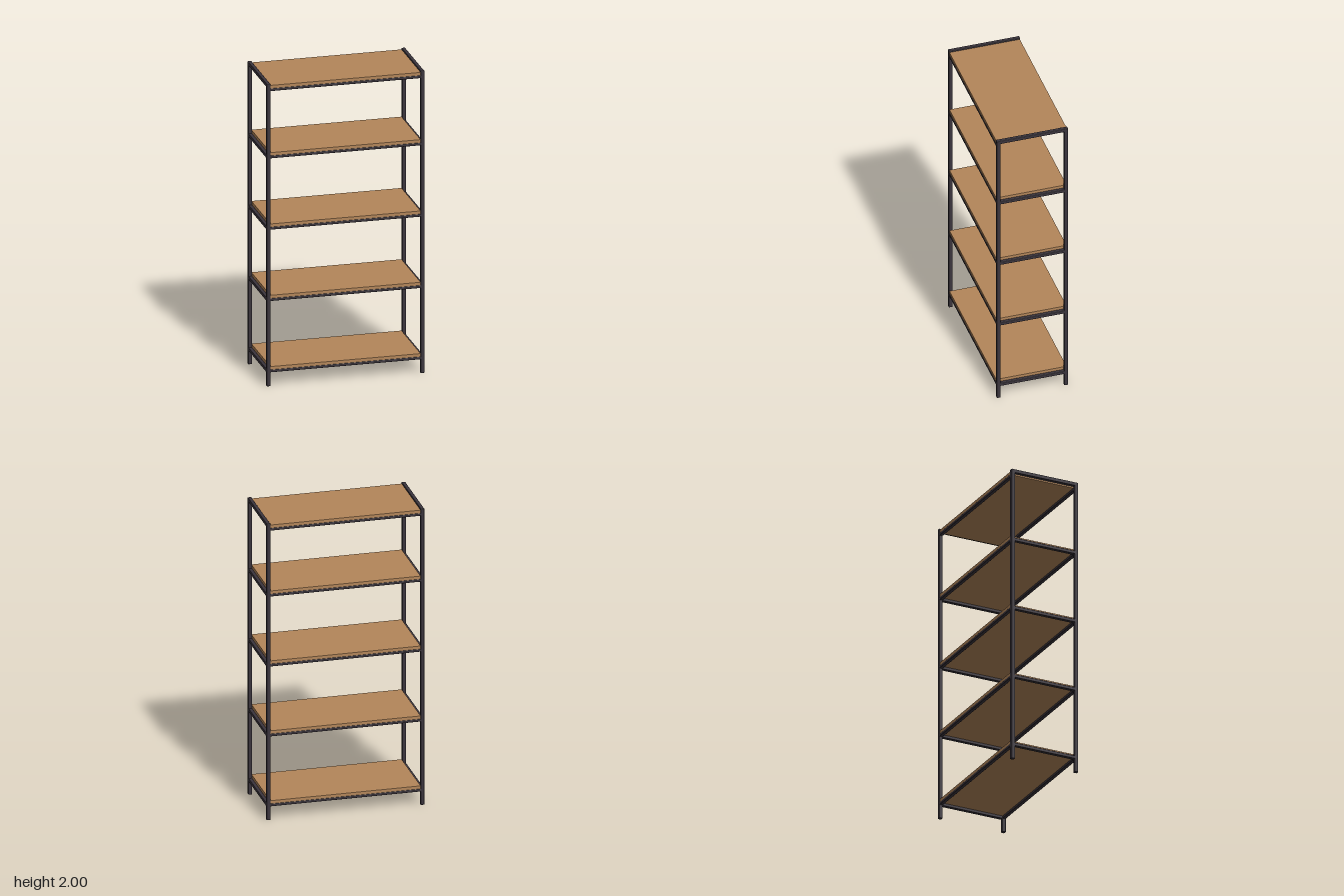
import * as THREE from 'three';
import { RoundedBoxGeometry } from 'three/addons/geometries/RoundedBoxGeometry.js';

const BAR = 0.025;            // square tube thickness
const POST_X = 0.499, POST_Z = 0.222;

export function createModel() {
  const model = new THREE.Group();
  model.name = 'shelvingUnit';

  const metal = new THREE.MeshStandardMaterial({ color: 0x3a343c });
  metal.name = 'dark metal';
  const wood = new THREE.MeshStandardMaterial({ color: 0xb3865a });
  wood.name = 'warm wood';

  // Metal tube with softly rounded edges
  function bar(name, w, h, d, x, y, z, parent = model) {
    const mesh = new THREE.Mesh(new RoundedBoxGeometry(w, h, d, 2, 0.004), metal);
    mesh.name = name;
    mesh.position.set(x, y, z);
    parent.add(mesh);
  }

  // Four corner posts
  for (const sx of [1, -1]) {
    for (const sz of [1, -1]) {
      const name = (sz > 0 ? 'front' : 'back') + (sx > 0 ? 'Left' : 'Right') + 'Post';
      bar(name, BAR, 2, BAR, sx * POST_X, 1, sz * POST_Z);
    }
  }

  // Shelves: a board resting on a rectangular rail frame
  const boardTops = [0.129, 0.601, 1.073, 1.545, 1.99];
  boardTops.forEach((top, i) => {
    const shelf = new THREE.Group();
    shelf.name = 'shelf' + (i + 1);
    model.add(shelf);

    const boardHeight = 0.022;
    const board = new THREE.Mesh(new THREE.BoxGeometry(0.974, boardHeight, 0.462), wood);
    board.name = 'board';
    board.position.y = top - boardHeight / 2;
    shelf.add(board);

    const railHeight = 0.018;
    const railY = top - boardHeight - railHeight / 2 + 0.002;
    for (const s of [1, -1]) {
      bar(s > 0 ? 'frontRail' : 'backRail', POST_X * 2, railHeight, 0.023, 0, railY, s * POST_Z, shelf);
      // The top side rails close the frame level with the post tops
      const last = i === boardTops.length - 1;
      const sideY = last ? 2 - 0.012 : railY;
      bar(s > 0 ? 'leftRail' : 'rightRail', 0.024, last ? 0.024 : 0.022, POST_Z * 2, s * POST_X, sideY, 0, shelf);
    }
  });

  return model;
}
